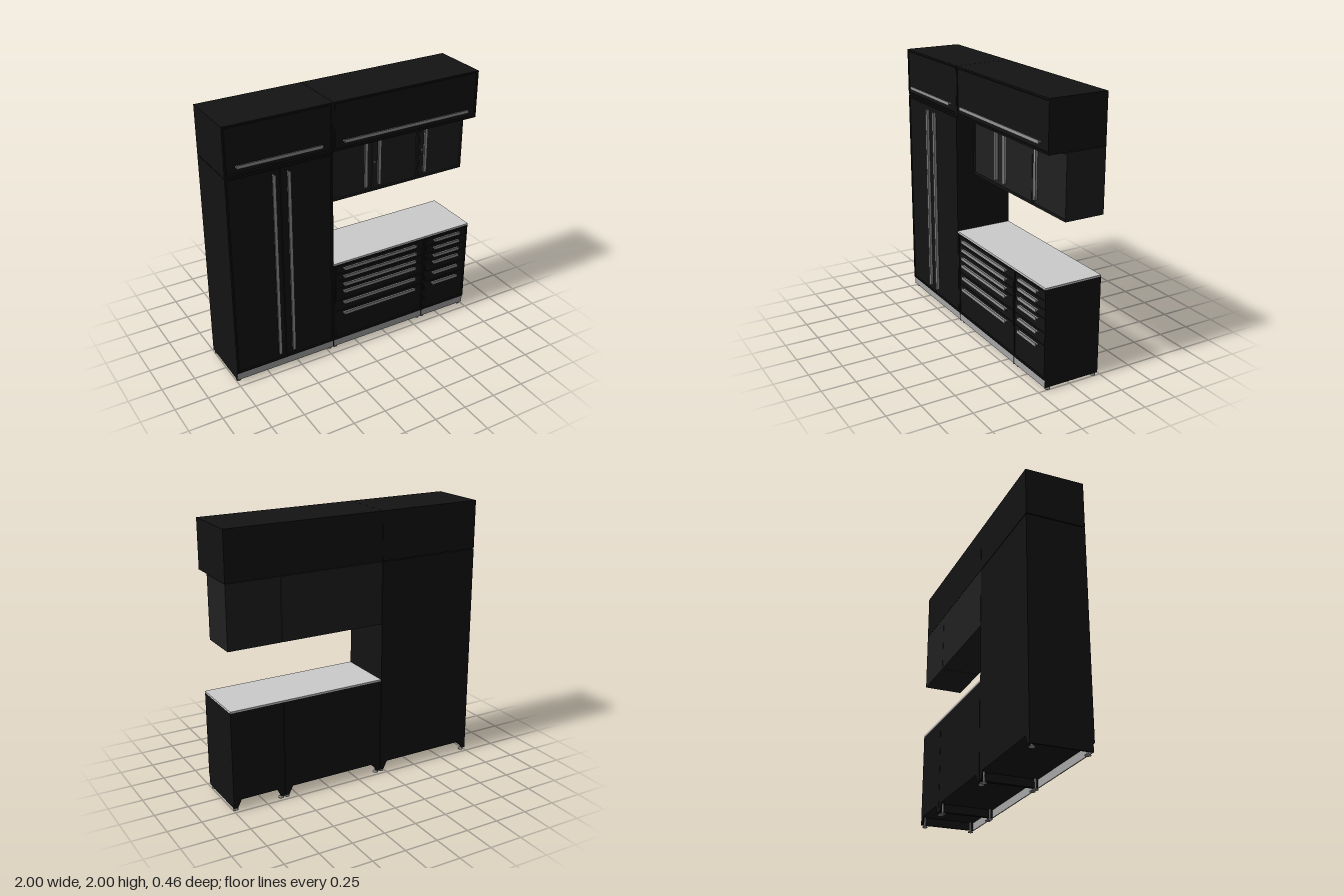
import * as THREE from 'three';

const mat = (color) => new THREE.MeshStandardMaterial({ color });
const black = mat(0x131313), charcoal = mat(0x202020);
const steel = mat(0x969696), kickGrey = mat(0xa6a6a6), counterGrey = mat(0xcccccc);
const BACK = -0.23, FRONT = 0.21, T = 0.012, KICK = 0.08, GAP = 0.0025;

function add(parent, name, geometry, material) {
  const mesh = new THREE.Mesh(geometry, material);
  mesh.name = name;
  parent.add(mesh);
  return mesh;
}

// Box given by its lower and upper corner
function box(parent, name, material, x0, x1, y0, y1, z0, z1) {
  const mesh = add(parent, name, new THREE.BoxGeometry(x1 - x0, y1 - y0, z1 - z0), material);
  mesh.position.set((x0 + x1) / 2, (y0 + y1) / 2, (z0 + z1) / 2);
  return mesh;
}

// T-section pull bar standing off the front face
function handle(parent, x0, x1, y0, y1, front) {
  const vertical = y1 - y0 > x1 - x0;
  const s = 0.008;
  const g = new THREE.Group();
  g.name = 'handle';
  parent.add(g);
  box(g, 'handleGrip', steel, x0, x1, y0, y1, front + 0.014, front + 0.02);
  if (vertical) box(g, 'handleStem', steel, x0 + s, x1 - s, y0, y1, front - 0.006, front + 0.014);
  else box(g, 'handleStem', steel, x0, x1, y0 + s, y1 - s, front - 0.006, front + 0.014);
}
const pullUp = (p, x, y0, y1, front) => handle(p, x - 0.012, x + 0.012, y0, y1, front);
const pullAcross = (p, y, x0, x1, front) => handle(p, x0, x1, y - 0.012, y + 0.012, front);

// Closed carcass with a raised rim around the front opening
function carcass(name, material, x0, x1, y0, y1, front) {
  const g = new THREE.Group();
  g.name = name;
  for (const [a, b] of [[x0, x0 + T], [x1 - T, x1]]) box(g, 'sidePanel', material, a, b, y0, y1, BACK, front);
  for (const [a, b] of [[y0, y0 + T], [y1 - T, y1]]) box(g, 'endPanel', material, x0 + T, x1 - T, a, b, BACK, front);
  box(g, 'backPanel', material, x0 + T, x1 - T, y0 + T, y1 - T, BACK, BACK + T);
  box(g, 'innerFace', material, x0 + T, x1 - T, y0 + T, y1 - T, front - 0.03, front - 0.02);
  return g;
}

// Door or drawer front set just inside the rim
function panel(g, name, material, x0, x1, y0, y1, front) {
  box(g, name, material, x0 + GAP, x1 - GAP, y0 + GAP, y1 - GAP, front - 0.02, front - 0.004);
}

// Small round lock on a door
function lock(g, x, y, front) {
  const m = add(g, 'lock', new THREE.CylinderGeometry(0.006, 0.006, 0.006, 16), steel);
  m.rotation.x = Math.PI / 2;
  m.position.set(x, y, front - 0.002);
}

// Kick space: side skirts, front plinth, notched back skirt and levelling feet
function addBase(g, x0, x1) {
  for (const [a, b] of [[x0, x0 + T], [x1 - T, x1]]) box(g, 'sideSkirt', black, a, b, 0.02, KICK, BACK, 0.2);
  box(g, 'plinth', kickGrey, x0 + 0.002, x1 - 0.002, 0.02, KICK, 0.194, 0.202);
  for (const [x, dir] of [[x0, 1], [x1, -1]]) {
    const s = new THREE.Shape([
      [0, 0.02], [0.03, 0.02], [0.06, KICK], [0, KICK],
    ].map(([u, v]) => new THREE.Vector2(x + dir * u, v)));
    const corner = add(g, 'backCorner', new THREE.ExtrudeGeometry(s, { depth: 0.006, bevelEnabled: false }), black);
    corner.position.z = BACK;
    for (const z of [0.17, -0.205]) {
      const foot = add(g, 'foot', new THREE.LatheGeometry([
        [0, 0], [0.02, 0], [0.02, 0.008], [0.007, 0.012], [0.007, KICK],
      ].map(([r, y]) => new THREE.Vector2(r, y)), 20), steel);
      foot.position.set(x + dir * 0.021, 0, z);
    }
  }
}

export function createModel() {
  const model = new THREE.Group();
  model.name = 'garageCabinetSet';
  const inset = T + 0.003;

  // Tall locker with two doors
  const tall = carcass('tallLocker', black, -1, -0.203, KICK, 1.637, FRONT);
  addBase(tall, -1, -0.203);
  panel(tall, 'door', black, -1 + inset, -0.602, KICK + inset, 1.637 - inset, FRONT);
  panel(tall, 'door', black, -0.602, -0.203 - inset, KICK + inset, 1.637 - inset, FRONT);
  for (const x of [-0.658, -0.546]) pullUp(tall, x, 0.14, 1.59, FRONT);
  model.add(tall);

  // Overhead lift-up cabinets
  for (const [x0, x1, h0, h1] of [[-1, -0.201, -0.92, -0.285], [-0.199, 1, -0.12, 0.915]]) {
    const top = carcass('overheadCabinet', black, x0, x1, 1.643, 2, FRONT);
    panel(top, 'liftDoor', black, x0 + inset, x1 - inset, 1.643 + inset, 2 - inset, FRONT);
    pullAcross(top, 1.71, h0, h1, FRONT);
    model.add(top);
  }

  // Shallow wall cabinets
  const W = 0.07;
  const wide = carcass('doubleWallCabinet', charcoal, -0.198, 0.598, 1.18, 1.64, W);
  panel(wide, 'door', charcoal, -0.198 + inset, 0.2, 1.18 + inset, 1.64 - inset, W);
  panel(wide, 'door', charcoal, 0.2, 0.598 - inset, 1.18 + inset, 1.64 - inset, W);
  for (const x of [0.142, 0.255]) pullUp(wide, x, 1.23, 1.59, W);
  lock(wide, 0.222, 1.41, W);
  const narrow = carcass('singleWallCabinet', charcoal, 0.602, 1, 1.18, 1.64, W);
  panel(narrow, 'door', charcoal, 0.602 + inset, 1 - inset, 1.18 + inset, 1.64 - inset, W);
  pullUp(narrow, 0.655, 1.23, 1.59, W);
  lock(narrow, 0.632, 1.41, W);
  model.add(wide, narrow);

  // Drawer cabinets under the worktop
  const edges = [0.725, 0.657, 0.592, 0.53, 0.427, 0.335, KICK + inset];
  const pulls = [0.698, 0.63, 0.562, 0.502, 0.405, 0.31];
  for (const [x0, x1, h0, h1] of [[-0.198, 0.598, -0.12, 0.515], [0.602, 1, 0.68, 0.915]]) {
    const base = carcass('drawerCabinet', black, x0, x1, KICK, 0.74, FRONT);
    addBase(base, x0, x1);
    pulls.forEach((y, i) => {
      panel(base, 'drawerFront', black, x0 + inset, x1 - inset, edges[i + 1], edges[i], FRONT);
      pullAcross(base, y, h0, h1, FRONT);
    });
    model.add(base);
  }

  // Worktop
  box(model, 'worktop', counterGrey, -0.2, 1, 0.74, 0.753, BACK, FRONT + 0.002);
  return model;
}
